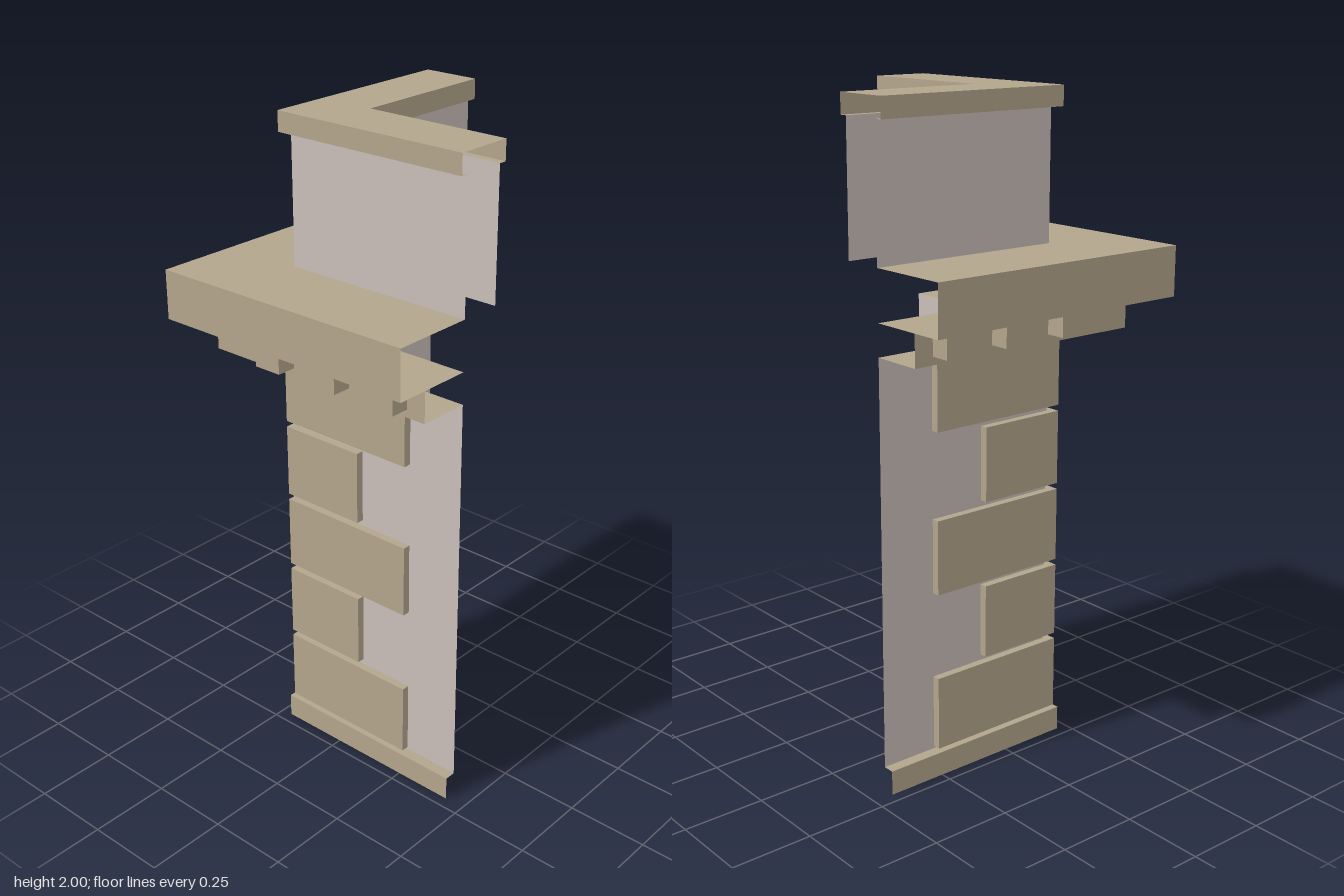
import * as THREE from 'three';

const END = 0.437; // free ends of both wings

// Sweeps a profile of [offset, height] points around the L-shaped corner, open at both ends.
function sweep(name, profile, material) {
  const pos = [];
  const quad = (a, b, c, d) => [a, b, c, a, c, d].forEach((p) => pos.push(...p));
  for (let i = 0; i < profile.length - 1; i++) {
    const [d0, y0] = profile[i];
    const [d1, y1] = profile[i + 1];
    const c0 = [-d0, y0, d0];
    const c1 = [-d1, y1, d1];
    quad(c0, [END, y0, d0], [END, y1, d1], c1); // front wing
    quad([-d0, y0, -END], c0, c1, [-d1, y1, -END]); // side wing
  }
  const geo = new THREE.BufferGeometry();
  geo.setAttribute('position', new THREE.Float32BufferAttribute(pos, 3));
  geo.computeVertexNormals();
  const mesh = new THREE.Mesh(geo, material);
  mesh.name = name;
  return mesh;
}

// L-shaped corner block wrapping both outer faces.
function quoin(reach, y, height, material) {
  const o = 0.205;
  const i = 0.181;
  const shape = new THREE.Shape(
    [[-o, -o], [reach, -o], [reach, -i], [-i, -i], [-i, reach], [-o, reach]]
      .map(([x, z]) => new THREE.Vector2(x, -z)),
  );
  // Shape y becomes -z after the turn, so mirror it to face the front.
  shape.curves.forEach((c) => { c.v1.y *= -1; c.v2.y *= -1; });
  const geo = new THREE.ExtrudeGeometry(shape, { depth: height, bevelEnabled: false });
  geo.rotateX(-Math.PI / 2);
  geo.translate(0, y, 0);
  const mesh = new THREE.Mesh(geo, material);
  mesh.name = 'quoin';
  return mesh;
}

export function createModel() {
  const stone = new THREE.MeshStandardMaterial({ color: 0xb3a58c, side: THREE.DoubleSide });
  stone.name = 'tan stone';
  const plaster = new THREE.MeshStandardMaterial({ color: 0xc9beb9, side: THREE.DoubleSide });
  plaster.name = 'pale plaster';

  const model = new THREE.Group();
  model.name = 'buildingCorner';

  // Walls and base
  model.add(
    sweep('plinth', [[0.215, 0], [0.215, 0.075], [0.18, 0.075]], stone),
    sweep('wall', [[0.18, 0.075], [0.18, 1.305]], plaster),
    sweep('parapetOuterWall', [[0.18, 1.55], [0.18, 1.94]], plaster),
    sweep('parapetInnerWall', [[0.05, 1.94], [0.05, 1.55]], plaster),
  );

  // Cornice and parapet cap
  model.add(
    sweep('frieze', [[0.18, 1.305], [0.34, 1.305], [0.34, 1.4]], stone),
    sweep('cornice', [[0.18, 1.4], [0.438, 1.4], [0.438, 1.55], [0.18, 1.55]], stone),
    sweep('parapetCap', [[0.18, 1.94], [0.205, 1.94], [0.205, 2], [0.026, 2], [0.026, 1.94], [0.05, 1.94]], stone),
  );

  // Alternating long and short corner blocks
  const quoins = new THREE.Group();
  quoins.name = 'quoins';
  for (let i = 0; i < 5; i++) {
    quoins.add(quoin(i % 2 ? 0.075 : 0.255, 0.083 + i * 0.2455, 0.227, stone));
  }
  model.add(quoins);

  // Dentils under the cornice on both wings
  const dentils = new THREE.Group();
  dentils.name = 'dentils';
  for (let i = 0; i < 3; i++) {
    const along = -0.08 + i * 0.206;
    const front = new THREE.Mesh(new THREE.BoxGeometry(0.09, 0.07, 0.06), stone);
    front.position.set(along, 1.364, 0.37);
    const side = new THREE.Mesh(new THREE.BoxGeometry(0.06, 0.07, 0.09), stone);
    side.position.set(-0.37, 1.364, -along);
    front.name = side.name = 'dentil';
    dentils.add(front, side);
  }
  model.add(dentils);
  return model;
}
